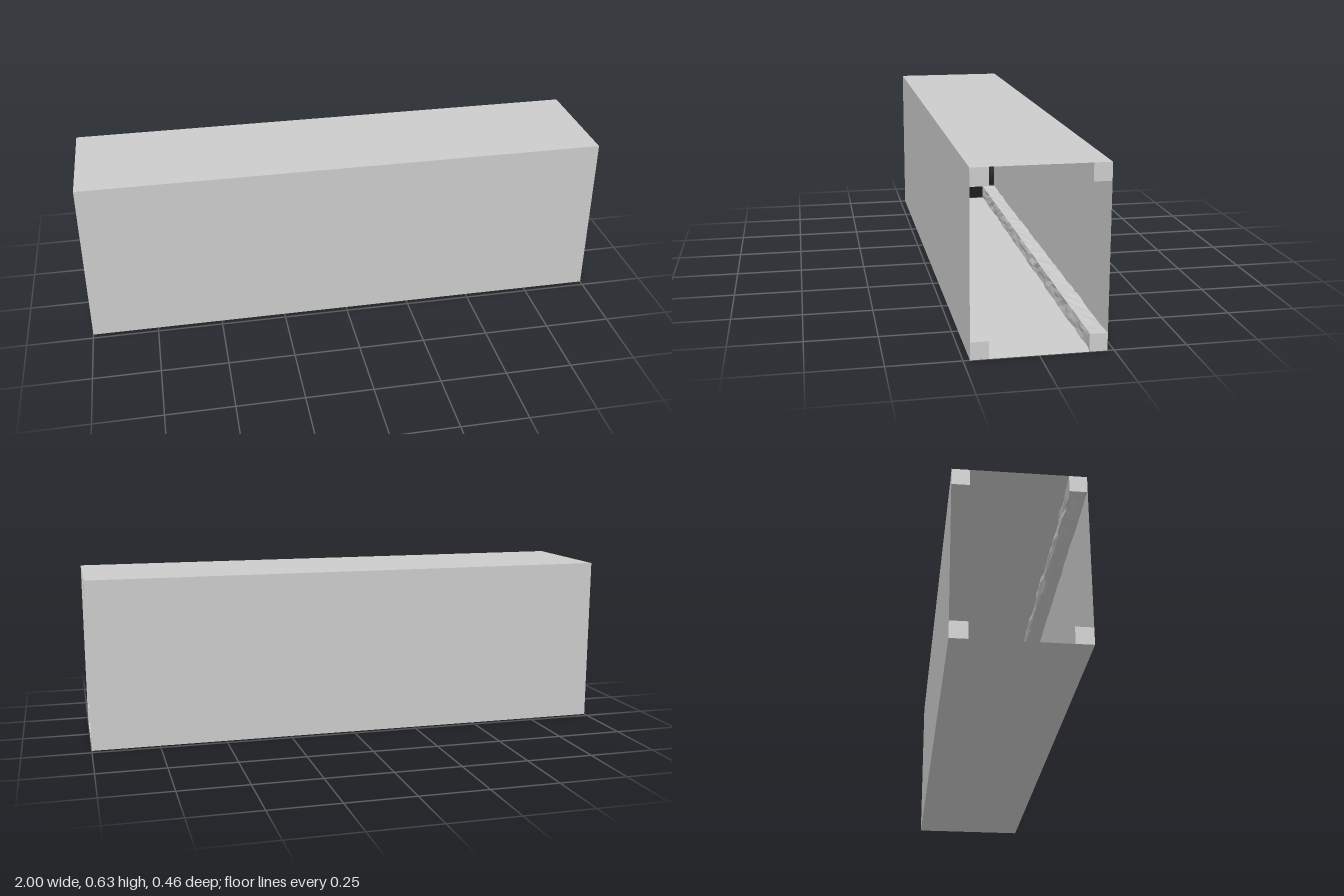
import * as THREE from 'three';

const LENGTH = 2, HEIGHT = 0.632, DEPTH = 0.455, RAIL = 0.061;

const material = new THREE.MeshStandardMaterial({ color: 0xcccccc, flatShading: true, side: THREE.DoubleSide });

// Repeatable noise in 0..1 from a position
function noise(x, y, z) {
  const n = Math.sin(x * 127.1 + y * 311.7 + z * 74.7) * 43758.5453;
  return n - Math.floor(n);
}

// Thin sheet, turned about x to face outward
function wall(name, height, y, z, turn) {
  const mesh = new THREE.Mesh(new THREE.PlaneGeometry(LENGTH, height), material);
  mesh.name = name;
  mesh.position.set(0, y, z);
  mesh.rotation.x = turn;
  return mesh;
}

// Square corner rail; wear roughens the two faces towards the hollow
function rail(name, sideY, sideZ, wear) {
  const geometry = wear
    ? new THREE.BoxGeometry(LENGTH, RAIL, RAIL, 48, 3, 3)
    : new THREE.BoxGeometry(LENGTH, RAIL, RAIL);
  if (wear) {
    const p = geometry.attributes.position;
    for (let i = 0; i < p.count; i++) {
      const x = Math.round(p.getX(i) * 1000) / 1000;
      const y = Math.round(p.getY(i) * 1000) / 1000;
      const z = Math.round(p.getZ(i) * 1000) / 1000;
      if (Math.abs(x) > LENGTH / 2 - 0.01) continue;
      const dent = wear * noise(x, y, z);
      if (y * sideY < -RAIL * 0.45) p.setY(i, y + sideY * dent);
      if (z * sideZ < -RAIL * 0.45) p.setZ(i, z + sideZ * dent);
    }
    geometry.computeVertexNormals();
  }
  const mesh = new THREE.Mesh(geometry, material);
  mesh.name = name;
  mesh.position.set(0, HEIGHT / 2 + sideY * (HEIGHT - RAIL) / 2, sideZ * (DEPTH - RAIL) / 2);
  return mesh;
}

export function createModel() {
  const model = new THREE.Group();
  model.name = 'openEndedCasing';

  // Four sheets form a rectangular tube, open at both ends
  model.add(
    wall('frontWall', HEIGHT, HEIGHT / 2, DEPTH / 2, 0),
    wall('backWall', HEIGHT, HEIGHT / 2, -DEPTH / 2, Math.PI),
    wall('topWall', DEPTH, HEIGHT, 0, -Math.PI / 2),
    wall('bottomWall', DEPTH, 0, 0, Math.PI / 2)
  );

  // Full-length rails in the four inner corners, two of them worn
  model.add(
    rail('topFrontRail', 1, 1, 0.012),
    rail('topBackRail', 1, -1, 0),
    rail('bottomFrontRail', -1, 1, 0),
    rail('bottomBackRail', -1, -1, 0.008)
  );
  return model;
}
